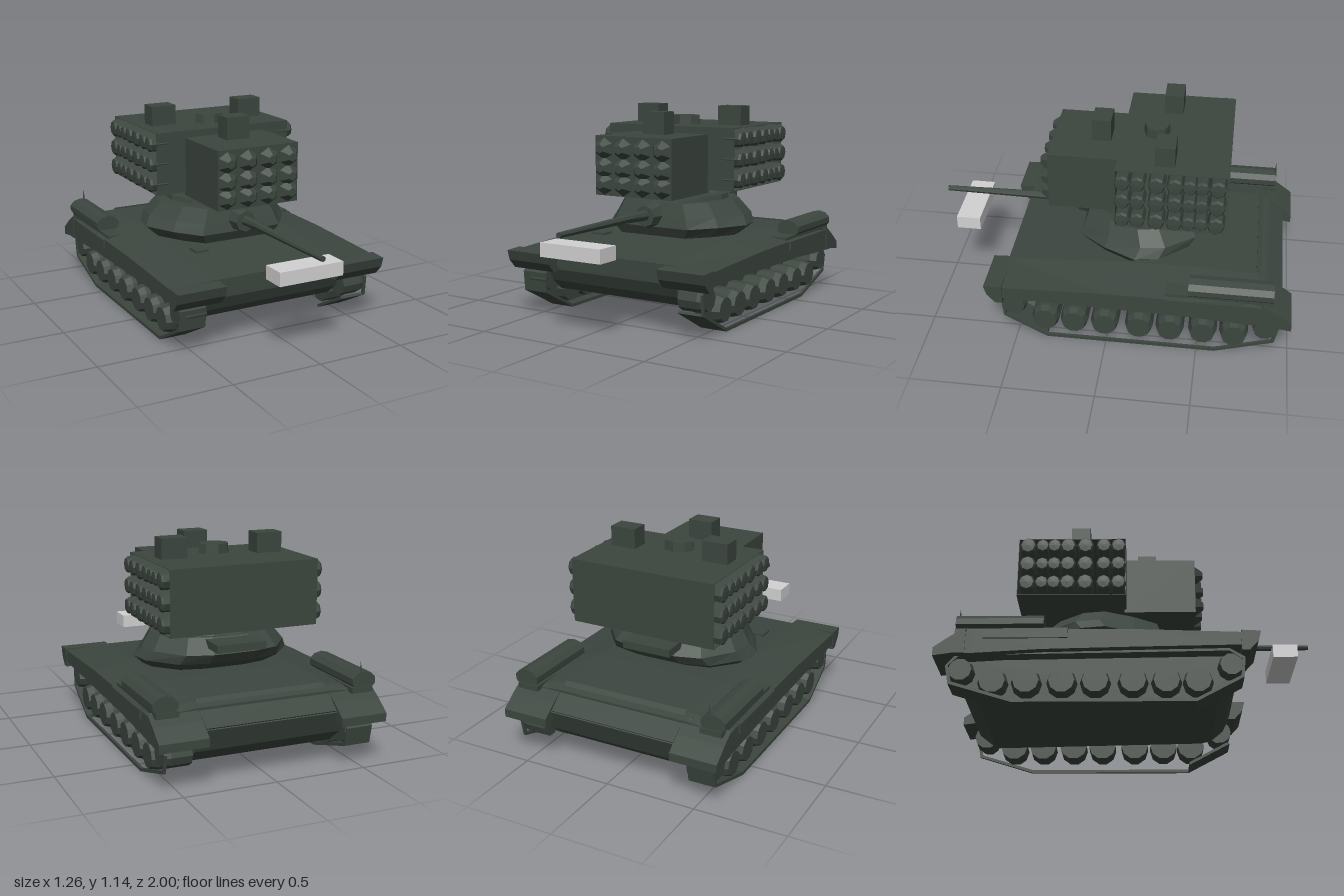
import * as THREE from 'three';

export function createModel() {
  const model = new THREE.Group();
  const green = new THREE.MeshStandardMaterial({ color: 0x3c463f, side: THREE.DoubleSide });
  green.name = 'dark green';
  green.flatShading = true;
  const grey = new THREE.MeshStandardMaterial({ color: 0xd2d2d2 });
  grey.name = 'light grey';

  const add = (name, geo, x = 0, y = 0, z = 0, mat = green) => {
    const m = new THREE.Mesh(geo, mat);
    m.name = name;
    m.position.set(x, y, z);
    model.add(m);
    return m;
  };
  // box given by its extents
  const box = (name, x0, x1, y0, y1, z0, z1, mat) =>
    add(name, new THREE.BoxGeometry(x1 - x0, y1 - y0, z1 - z0), (x0 + x1) / 2, (y0 + y1) / 2, (z0 + z1) / 2, mat);
  // (z, y) profile extruded across x
  const profile = (name, pts, x0, x1, hole) => {
    const shape = new THREE.Shape(pts.map(p => new THREE.Vector2(...p)));
    if (hole) shape.holes.push(new THREE.Path(hole.map(p => new THREE.Vector2(...p))));
    const geo = new THREE.ExtrudeGeometry(shape, { depth: x1 - x0, bevelEnabled: false });
    return add(name, geo.rotateY(-Math.PI / 2), x1);
  };
  // skin joining rings of points, capped at both ends
  const loft = (name, rings) => {
    const v = [];
    const tri = (...ps) => ps.forEach(p => v.push(...p));
    const n = rings[0].length;
    for (let r = 0; r < rings.length - 1; r++) {
      for (let i = 0; i < n; i++) {
        const j = (i + 1) % n, a = rings[r], b = rings[r + 1];
        tri(a[i], a[j], b[j]);
        tri(a[i], b[j], b[i]);
      }
    }
    const first = rings[0], last = rings[rings.length - 1];
    for (let i = 1; i < n - 1; i++) {
      tri(first[0], first[i + 1], first[i]);
      tri(last[0], last[i], last[i + 1]);
    }
    const geo = new THREE.BufferGeometry();
    geo.setAttribute('position', new THREE.Float32BufferAttribute(v, 3));
    geo.computeVertexNormals();
    return add(name, geo);
  };

  // Hull: lower tub and sloping upper deck
  profile('lowerHull', [[0.57, 0.37], [0.565, 0.27], [0.53, 0.2], [0.46, 0.14], [0.4, 0.125], [-0.8, 0.1],
    [-0.9, 0.18], [-0.95, 0.3], [-0.83, 0.4]], -0.41, 0.4);
  const deckRing = ([z, inner, outer, low]) => [[-0.62, low], [0.62, low], [0.62, outer], [0.38, inner],
    [-0.38, inner], [-0.62, outer]].map(([x, y]) => [x, y, z]);
  loft('upperDeck', [[-0.86, 0.39, 0.365, 0.25], [-0.8, 0.41, 0.375, 0.25], [-0.45, 0.425, 0.38, 0.27],
    [0, 0.415, 0.38, 0.28], [0.57, 0.375, 0.36, 0.29]].map(deckRing));
  profile('rearDeck', [[-0.8, 0.42], [-0.95, 0.31], [-0.9, 0.25], [-0.8, 0.25]], -0.36, 0.36);

  const trackOutline = [[0.57, 0.13], [0.33, 0], [-0.6, 0], [-0.92, 0.1], [-0.94, 0.2], [-0.88, 0.27], [0.5, 0.29], [0.58, 0.24]];
  const trackHole = [[0.555, 0.14], [0.33, 0.018], [-0.6, 0.018], [-0.905, 0.112], [-0.925, 0.2], [-0.87, 0.255], [0.5, 0.275], [0.565, 0.23]];
  const wheelZ = [0.34, 0.18, 0.01, -0.18, -0.35, -0.53, -0.7];
  for (const s of [-1, 1]) {
    const span = (a, b) => (s > 0 ? [a, b] : [-b, -a]);
    // Fender tips
    profile('frontFender', [[0.56, 0.37], [0.66, 0.365], [0.645, 0.31], [0.6, 0.26], [0.56, 0.26]], ...span(0.35, 0.625));
    profile('rearFender', [[-0.84, 0.39], [-0.92, 0.34], [-1, 0.28], [-1, 0.235], [-0.9, 0.25], [-0.84, 0.25]], ...span(0.365, 0.625));

    // Road wheels, idler and drive sprocket
    const wheel = (name, y, z, r) =>
      add(name, new THREE.CylinderGeometry(r * 0.85, r, 0.04, 10).rotateZ(-s * Math.PI / 2), s * 0.555, y, z) &&
      add(name, new THREE.CylinderGeometry(r, r, 0.11, 10).rotateZ(Math.PI / 2), s * 0.48, y, z);
    wheelZ.forEach(z => wheel('roadWheel', 0.12, z, 0.078));
    wheel('idlerWheel', 0.205, 0.51, 0.07);
    wheel('driveSprocket', 0.18, -0.865, 0.07);

    // Rear stowage drums and their side rails
    const drum = add('stowageDrum', new THREE.CylinderGeometry(0.052, 0.052, 0.45, 10).rotateX(Math.PI / 2), s * 0.55, 0.43, -0.67);
    drum.scale.x = 1.35;
    box('sideRail', ...span(0.6, 0.63), 0.33, 0.38, -0.75, -0.32);
    box('drumBracket', ...span(0.48, 0.6), 0.37, 0.4, -0.9, -0.32);
  }
  // Right track: full band with a web between the wheels
  profile('rightTrack', trackOutline, -0.58, -0.43, trackHole);
  profile('rightTrackWeb', trackOutline, -0.51, -0.5);
  // Left track: narrow outer band with a full-width front ramp
  profile('leftTrack', trackOutline, 0.56, 0.575, trackHole);
  profile('leftTrackRamp', [[0.57, 0.13], [0.33, 0], [0.33, 0.018], [0.555, 0.14]], 0.42, 0.56);
  add('antenna', new THREE.ConeGeometry(0.008, 0.1, 4), -0.53, 0.5, -0.89);

  // Turret: stacked plan outlines
  const half = [[0.55, 1], [0.8, 0.55], [1, 0], [0.95, -0.4], [0.65, -0.88], [0.3, -1]];
  const plan = [...half, ...half.map(([x, z]) => [-x, z]).reverse()];
  const turretRing = ([y, w, front, rear]) =>
    plan.map(([x, z]) => [x * w, y, (front + rear) / 2 + z * (front - rear) / 2]);
  loft('turret', [[0.43, 0.38, 0.15, -0.36], [0.485, 0.44, 0.18, -0.46], [0.54, 0.405, 0.165, -0.5],
    [0.62, 0.345, 0.14, -0.43]].map(turretRing));
  loft('turretRoof', [[0.62, 0.28, 0.13, -0.41], [0.647, 0.275, 0.12, -0.4]].map(turretRing));
  loft('launcherPedestal', [[0.647, 0.21, -0.06, -0.38], [0.69, 0.17, -0.1, -0.34]].map(turretRing));
  box('turretRearBox', -0.14, 0.14, 0.57, 0.612, -0.585, -0.42);
  box('periscope', -0.33, -0.25, 0.425, 0.437, 0.19, 0.27);

  // Gun
  add('gunMantlet', new THREE.CylinderGeometry(0.06, 0.08, 0.1, 8).rotateX(Math.PI / 2), 0, 0.548, 0.18);
  add('gunBarrel', new THREE.CylinderGeometry(0.015, 0.026, 0.8, 8).rotateX(Math.PI / 2), 0, 0.557, 0.6);
  add('barrelSleeve', new THREE.CylinderGeometry(0.02, 0.03, 0.22, 8).rotateX(Math.PI / 2), 0, 0.552, 0.3);

  // Rear launcher housing, thin plates open at both sides
  box('housingRoof', -0.415, 0.415, 1.032, 1.035, -0.62, -0.03);
  box('housingFloor', -0.415, 0.415, 0.685, 0.688, -0.62, -0.03);
  box('housingFront', -0.415, 0.415, 0.685, 1.035, -0.033, -0.03);
  box('housingBack', -0.415, 0.415, 0.685, 1.035, -0.62, -0.617);

  // Side tubes in three rows, with blunt caps
  const tubes = [[-0.07, 0.042], [-0.15, 0.042], [-0.25, 0.046], [-0.345, 0.044], [-0.42, 0.04], [-0.485, 0.038], [-0.565, 0.046]];
  const tubeProfile = [[0, 0.06], [0.8, 0.057], [1, 0.045], [1, -0.05]];
  for (const s of [-1, 1]) for (const y of [0.748, 0.862, 0.975]) for (const [z, r] of tubes) {
    const pts = tubeProfile.map(([k, h]) => new THREE.Vector2(k * r, h)).reverse();
    const tube = add('sideTube', new THREE.LatheGeometry(pts, 8).rotateZ(-s * Math.PI / 2), s * 0.395, y, z);
    tube.scale.y = 1.1;
  }

  // Front launcher box with pointed rocket noses
  box('frontLauncher', -0.24, 0.25, 0.667, 0.995, -0.04, 0.355);
  [0.925, 0.82, 0.73].forEach(y => {
    for (let i = 0; i < 4; i++) {
      add('rocketNose', new THREE.CylinderGeometry(0.025, 0.064, 0.05, 6).rotateX(Math.PI / 2), -0.183 + i * 0.125, y, 0.375);
    }
  });

  // Roof sights and hatch
  box('frontSight', -0.07, 0.07, 0.99, 1.12, 0.035, 0.14);
  for (const s of [-1, 1]) box('roofSight', s * 0.275 - 0.073, s * 0.275 + 0.073, 1.03, 1.145, -0.335, -0.23);
  const hatch = add('roofHatch', new THREE.CylinderGeometry(0.085, 0.09, 0.055, 8), 0, 1.06, -0.21);
  hatch.scale.z = 0.8;

  // Pale block ahead of the hull
  box('frontBlock', -0.19, 0.185, 0.415, 0.49, 0.775, 0.91, grey);

  return model;
}
